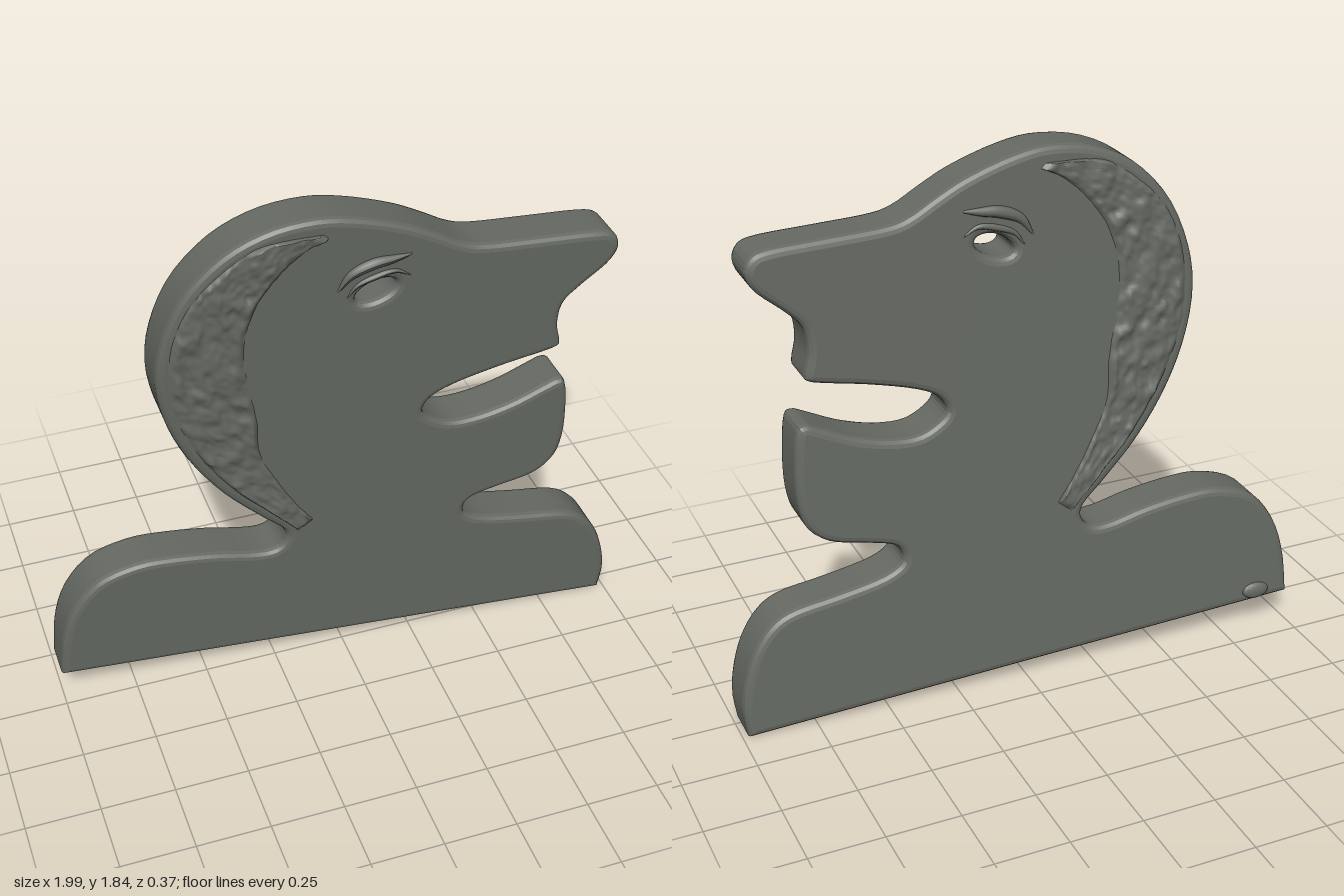
import * as THREE from 'three';
import { toCreasedNormals } from 'three/addons/utils/BufferGeometryUtils.js';

const THICK = 0.17;
const BEVEL = 0.025;

// The slab leans forward and is turned slightly: depth of its middle plane
const midZ = (x, y) => -0.065 + 0.045 * x + 0.075 * y;

function lean(geo) {
  const p = geo.attributes.position;
  for (let i = 0; i < p.count; i++) p.setZ(i, p.getZ(i) + midZ(p.getX(i), p.getY(i)));
  geo.computeVertexNormals();
  return geo;
}

const curve = (pts) => new THREE.SplineCurve(pts.map(([x, y]) => new THREE.Vector2(x, y)));

// Smooth value noise from a hashed lattice
function hash(i, j) {
  const s = Math.sin(i * 127.1 + j * 311.7) * 43758.5453;
  return s - Math.floor(s);
}
function noise(x, y) {
  const i = Math.floor(x), j = Math.floor(y);
  const f = THREE.MathUtils.smoothstep(x - i, 0, 1), g = THREE.MathUtils.smoothstep(y - j, 0, 1);
  const mix = THREE.MathUtils.lerp;
  return mix(mix(hash(i, j), hash(i + 1, j), f), mix(hash(i, j + 1), hash(i + 1, j + 1), f), g);
}

// Bust outline, from the lower right corner up and round to the lower left
const outline = [
  [0.98, 0.005], [0.99, 0.1], [0.975, 0.2], [0.94, 0.3], [0.88, 0.385], [0.8, 0.43], [0.65, 0.455],
  [0.5, 0.485], [0.43, 0.52], [0.42, 0.56], [0.45, 0.595], [0.54, 0.62], [0.66, 0.65], [0.73, 0.71],
  [0.755, 0.8], [0.755, 0.92], [0.74, 1.04], [0.71, 1.06], [0.66, 1.04], [0.56, 0.995], [0.45, 0.965],
  [0.35, 0.96], [0.28, 0.99], [0.245, 1.03], [0.27, 1.08], [0.35, 1.12], [0.5, 1.16], [0.65, 1.19],
  [0.695, 1.205], [0.7, 1.23], [0.685, 1.3], [0.695, 1.38], [0.75, 1.44], [0.83, 1.51], [0.86, 1.57],
  [0.84, 1.62], [0.78, 1.64], [0.6, 1.65], [0.42, 1.66], [0.34, 1.68], [0.25, 1.73], [0.15, 1.78],
  [0, 1.83], [-0.13, 1.85], [-0.28, 1.83], [-0.42, 1.76], [-0.54, 1.63], [-0.61, 1.46], [-0.625, 1.3],
  [-0.59, 1.13], [-0.52, 0.97], [-0.42, 0.82], [-0.3, 0.69], [-0.22, 0.61], [-0.215, 0.56],
  [-0.25, 0.525], [-0.32, 0.525], [-0.45, 0.555], [-0.6, 0.575], [-0.72, 0.575], [-0.85, 0.53],
  [-0.94, 0.42], [-0.985, 0.28], [-1, 0.12],
];

const hairOuter = curve([[-0.1, 1.8], [-0.3, 1.79], [-0.43, 1.71], [-0.53, 1.6], [-0.585, 1.45],
  [-0.595, 1.3], [-0.56, 1.14], [-0.49, 0.99], [-0.39, 0.84], [-0.27, 0.71], [-0.17, 0.6]]);
const hairInner = curve([[-0.09, 1.785], [-0.17, 1.74], [-0.26, 1.65], [-0.32, 1.55], [-0.35, 1.4],
  [-0.33, 1.25], [-0.31, 1.12], [-0.3, 0.98], [-0.24, 0.84], [-0.18, 0.73], [-0.12, 0.64]]);

// Bust slab with a pierced eye; its underside takes the second material
function bustGeometry() {
  const shape = new THREE.Shape(curve(outline).getPoints(220));
  const eye = new THREE.Path();
  eye.absellipse(0.065, 1.553, 0.068, 0.036, 0, Math.PI * 2, true, 0.35);
  shape.holes.push(eye);
  let geo = new THREE.ExtrudeGeometry(shape, {
    depth: THICK - 2 * BEVEL, steps: 1, curveSegments: 20,
    bevelThickness: BEVEL, bevelSize: BEVEL, bevelOffset: -BEVEL, bevelSegments: 3,
  });
  geo.translate(0, 0, BEVEL - THICK / 2);
  geo = toCreasedNormals(lean(geo), 0.25);
  geo.clearGroups();
  const p = geo.attributes.position, n = geo.attributes.normal;
  let start = 0, current = 0;
  for (let i = 0; i < p.count; i += 3) {
    const y = Math.max(p.getY(i), p.getY(i + 1), p.getY(i + 2));
    const index = n.getY(i) < -0.6 && y < 0.16 ? 1 : 0;
    if (index !== current) {
      if (i > start) geo.addGroup(start, i - start, current);
      start = i;
      current = index;
    }
  }
  geo.addGroup(start, p.count - start, current);
  return geo;
}

// Rough hair relief between the two curves; side is 1 for front, -1 for back
function hairGeometry(side) {
  const geo = new THREE.PlaneGeometry(1, 1, 150, 32);
  const p = geo.attributes.position, uv = geo.attributes.uv;
  for (let i = 0; i < p.count; i++) {
    const u = side > 0 ? uv.getX(i) : 1 - uv.getX(i), v = uv.getY(i);
    const q = hairOuter.getPoint(u).lerp(hairInner.getPoint(u), v);
    const edge = Math.min(1, 12 * v, 12 * (1 - v), 40 * u, 40 * (1 - u));
    const rough = 0.7 * noise(q.x * 34, q.y * 26 + q.x * 12) + 0.3 * noise(q.x * 70 + 9, q.y * 60);
    const h = -0.004 + edge * (0.003 + 0.022 * rough);
    p.setXYZ(i, q.x, q.y, side * (THICK / 2 + h));
  }
  return lean(geo);
}

// Raised strip lying on the front or back face
function ridgeGeometry(pts, radius, side) {
  const path = new THREE.CatmullRomCurve3(pts.map(([x, y]) => new THREE.Vector3(x, y, 0)));
  const geo = new THREE.TubeGeometry(path, 24, radius, 8, false);
  const p = geo.attributes.position;
  // taper towards both ends
  for (let i = 0; i < p.count; i++) {
    const t = Math.floor(i / 9) / 24, c = path.getPointAt(t);
    const k = 0.15 + 0.85 * Math.sin(Math.PI * t);
    p.setXYZ(i, c.x + (p.getX(i) - c.x) * k, c.y + (p.getY(i) - c.y) * k,
      p.getZ(i) * k * 0.9 + side * THICK / 2);
  }
  return lean(geo);
}

export function createModel() {
  const stone = new THREE.MeshStandardMaterial({ color: 0x666a63 });
  const earth = new THREE.MeshStandardMaterial({ color: 0x69503d });
  const model = new THREE.Group();
  model.name = 'profileBust';
  const add = (name, geo, material) => {
    const mesh = new THREE.Mesh(geo, material);
    mesh.name = name;
    model.add(mesh);
    return mesh;
  };

  add('bust', bustGeometry(), [stone, earth]);

  // Relief on both faces
  for (const [label, side] of [['front', 1], ['back', -1]]) {
    add(label + 'Hair', hairGeometry(side), stone);
    add(label + 'Eyebrow', ridgeGeometry(
      [[-0.06, 1.58], [-0.02, 1.635], [0.05, 1.665], [0.11, 1.672], [0.17, 1.68]], 0.02, side), stone);
    add(label + 'Eyelid', ridgeGeometry(
      [[-0.03, 1.55], [0.0, 1.59], [0.06, 1.615], [0.12, 1.625], [0.17, 1.6]], 0.011, side), stone);
  }

  // Small lump low on the back and a chip in the underside
  const lump = new THREE.SphereGeometry(1, 16, 10);
  lump.scale(0.05, 0.03, 0.016).translate(-0.87, 0.155, -THICK / 2);
  add('backLump', lean(lump), stone);
  const chip = new THREE.BoxGeometry(0.12, 0.006, 0.035);
  chip.rotateZ(-0.058).translate(-0.74, 0.104, -0.04);
  add('undersideChip', lean(chip), stone);
  return model;
}
